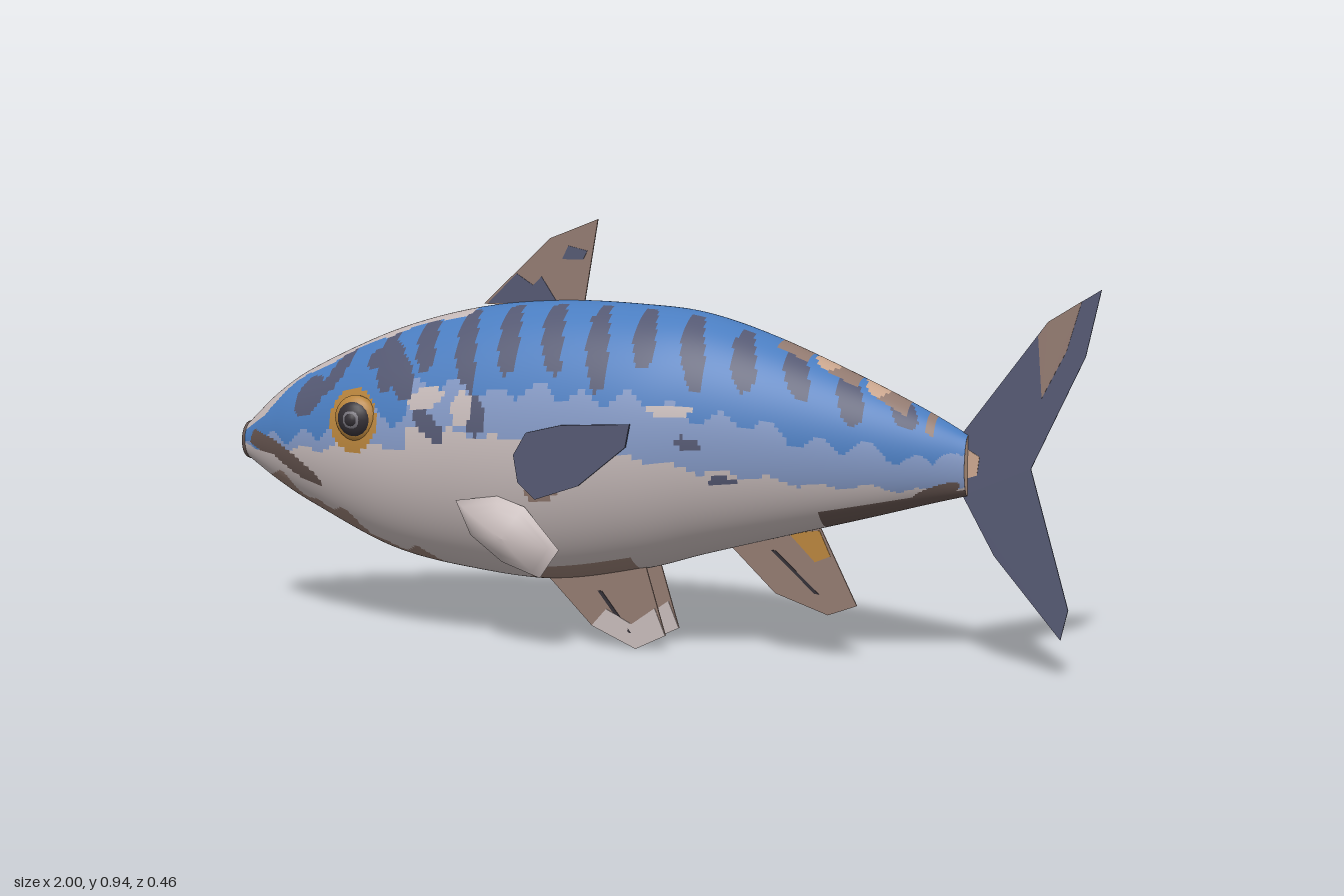
import * as THREE from 'three';

const mat = (name, color) => {
  const m = new THREE.MeshStandardMaterial({ color, side: THREE.DoubleSide });
  m.name = name;
  return m;
};

export function createModel() {
  const blue = mat('back blue', 0x4a7dc0), light = mat('flank light blue', 0x8398c4);
  const slate = mat('slate', 0x545872), pale = mat('belly pale', 0xc6bab9);
  const brown = mat('fin brown', 0x927a70), umber = mat('dark brown', 0x65544f);
  const orange = mat('eye orange', 0xb8843c), tan = mat('tan', 0xcaa68e);
  const dark = mat('near black', 0x332f35), grey = mat('eye grey', 0x77747c);
  const palette = [blue, light, slate, pale, brown, umber, orange, tan];
  const fish = new THREE.Group();
  fish.name = 'fish';

  const add = (name, geo, material, parent = fish) => {
    const m = new THREE.Mesh(geo, material);
    m.name = name;
    parent.add(m);
    return m;
  };

  // Body stations: x, top, bottom, half width
  const stations = [
    [-0.99, 0.46, 0.375, 0.036], [-0.9, 0.54, 0.32, 0.085], [-0.8, 0.603, 0.27, 0.125],
    [-0.6, 0.692, 0.187, 0.18], [-0.4, 0.747, 0.153, 0.2], [-0.2, 0.769, 0.144, 0.207],
    [0, 0.766, 0.18, 0.202], [0.14, 0.752, 0.222, 0.182], [0.3, 0.705, 0.267, 0.15],
    [0.5, 0.624, 0.322, 0.1], [0.64, 0.56, 0.362, 0.06], [0.725, 0.515, 0.385, 0.032],
  ];
  const heights = new THREE.CatmullRomCurve3(stations.map(s => new THREE.Vector3(s[0], s[1], s[2])), false, 'catmullrom');
  const widths = new THREE.CatmullRomCurve3(stations.map(s => new THREE.Vector3(s[0], s[3], 0)), false, 'catmullrom');

  // Tilted oval markings on the flanks: x, y, radius x, radius y, tilt, colour
  const spots = [
    [-0.64, 0.5, 0.066, 0.072, 0, orange],
    [-0.45, 0.56, 0.045, 0.022, 0.3, pale], [-0.36, 0.54, 0.025, 0.04, 0, pale],
    [-0.44, 0.5, 0.05, 0.02, -0.7, slate], [-0.33, 0.53, 0.03, 0.045, 0.2, slate],
    [-0.78, 0.54, 0.035, 0.05, -0.6, slate], [-0.71, 0.6, 0.02, 0.06, -0.5, slate],
    [-0.52, 0.6, 0.03, 0.05, 0.4, slate], [-0.58, 0.64, 0.05, 0.025, 0.3, slate],
    [-0.83, 0.39, 0.1, 0.02, -0.5, umber], [-0.93, 0.425, 0.06, 0.02, -0.3, umber],
    [0.12, 0.56, 0.05, 0.014, 0, pale], [0.16, 0.49, 0.03, 0.013, -0.3, slate],
    [0.23, 0.41, 0.03, 0.01, 0, slate], [0.7, 0.45, 0.035, 0.03, 0, light],
    [0.66, 0.39, 0.06, 0.016, 0.4, umber], [-0.17, 0.37, 0.04, 0.02, 0.3, brown],
  ];
  const inSpot = (x, y, [cx, cy, rx, ry, a]) => {
    const dx = x - cx, dy = y - cy, c = Math.cos(a), s = Math.sin(a);
    return ((dx * c + dy * s) / rx) ** 2 + ((dy * c - dx * s) / ry) ** 2 < 1;
  };
  const lerp = THREE.MathUtils.lerp, step = THREE.MathUtils.smoothstep;

  // Picks the colour of a point of the skin; s runs from -1 (belly) to 1 (back)
  const skin = (x, y, z, s) => {
    const az = Math.abs(z);
    if (s > 0) {
      if (x < -0.4 && az < 0.055 + 0.006 * Math.sin(x * 40)) return s > 0.6 ? pale : blue;
      if (s > 0.6 && [0.42, 0.53].some(c => ((x - c) / 0.025) ** 2 + (z / 0.045) ** 2 < 1)) return tan;
      if (s > 0.6 && x > 0.3 && x < 0.66 && az < 0.045 && Math.sin(x * 58) > -0.4) return brown;
    }
    for (const spot of spots) if (inSpot(x, y, spot)) return spot[5];
    // Underside blotches
    if (s < 0 && x < -0.38 && x > -0.95) {
      const edge = lerp(0.35, 0.17, step(x, -0.95, -0.4)) + 0.015 * Math.sin(x * 34) + 0.008 * Math.sin(x * 71);
      if (y < edge) return brown;
    }
    if (s < -0.86 && x > -0.25 && x < 0) return brown;
    if (s < -0.75 && x > 0.42) return umber;
    // Scalloped edges between back, flank and belly
    const wave = 0.016 * Math.sin(x * 62) + 0.007 * Math.sin(x * 27);
    const upper = x < -0.5 ? lerp(0.42, 0.52, step(x, -0.98, -0.5)) : lerp(0.585, 0.46, step(x, -0.1, 0.75));
    const lower = x < -0.5 ? lerp(0.41, 0.45, step(x, -0.98, -0.5)) : lerp(0.49, 0.40, step(x, -0.4, 0.6));
    if (y > upper + wave) {
      const p = (x + 0.22 * (y - 0.65)) / 0.105;
      const low = 0.5 + 0.1 * Math.sin(x * 23);
      const fat = 0.48 * Math.sqrt(Math.max(0, 1 - ((s - 0.5 - low / 2) / (0.52 - low / 2)) ** 2));
      if (x > -0.6 && x < 0.66 && s > low && s < 0.985 && Math.abs(p - Math.floor(p) - 0.5) < fat / 2) return slate;
      return blue;
    }
    return y > lower + wave * 0.4 ? light : pale;
  };

  // Body: lofted ovals, each cell sorted into its colour group
  const NX = 260, NA = 140, pos = [], cells = palette.map(() => []);
  for (let i = 0; i <= NX; i++) {
    const h = heights.getPoint(i / NX), w = widths.getPoint(i / NX).y;
    for (let j = 0; j < NA; j++) {
      const a = j / NA * Math.PI * 2;
      pos.push(h.x, (h.y + h.z) / 2 + (h.y - h.z) / 2 * Math.sin(a), w * Math.cos(a));
    }
  }
  for (let i = 0; i < NX; i++) for (let j = 0; j < NA; j++) {
    const k = (j + 1) % NA, a = i * NA + j, b = a + NA, c = (i + 1) * NA + k, d = i * NA + k;
    const mid = n => (pos[a * 3 + n] + pos[c * 3 + n]) / 2;
    const colour = skin(mid(0), mid(1), mid(2), Math.sin((j + 0.5) / NA * Math.PI * 2));
    cells[palette.indexOf(colour)].push(a, b, c, a, c, d);
  }
  const bodyGeo = new THREE.BufferGeometry();
  bodyGeo.setAttribute('position', new THREE.Float32BufferAttribute(pos, 3));
  bodyGeo.setIndex(cells.flat());
  let start = 0;
  cells.forEach((c, n) => { bodyGeo.addGroup(start, c.length, n); start += c.length; });
  bodyGeo.computeVertexNormals();
  add('body', bodyGeo, palette);

  // Mouth ring, throat and tail stump
  const lips = add('lips', new THREE.TorusGeometry(0.036, 0.009, 8, 24), umber);
  lips.rotation.y = Math.PI / 2;
  lips.position.set(-0.99, 0.417, 0);
  lips.scale.set(0.85, 1, 1);
  const disc = (name, x, y, rz, ry, material) => {
    const m = add(name, new THREE.CircleGeometry(1, 24), material);
    m.rotation.y = Math.PI / 2;
    m.position.set(x, y, 0);
    m.scale.set(rz, ry, 1);
  };
  disc('throat', -0.988, 0.417, 0.036, 0.04, dark);
  disc('tailStump', 0.725, 0.45, 0.032, 0.065, tan);

  // Flat fins: outline in x, y, centred on z = 0
  const plate = (points, depth) => {
    const g = new THREE.ExtrudeGeometry(new THREE.Shape(points.map(p => new THREE.Vector2(...p))), { depth, bevelEnabled: false });
    return g.translate(0, 0, -depth / 2);
  };
  const fin = (name, points, material, patches = []) => {
    const g = new THREE.Group();
    g.name = name;
    add(name + 'Blade', plate(points, 0.004), material, g);
    patches.forEach(([pts, m], i) => add(name + 'Marking' + (i + 1), plate(pts, 0.007), m, g));
    fish.add(g);
    return g;
  };
  fin('dorsalFin', [[-0.39, 0.755], [-0.23, 0.905], [-0.115, 0.95], [-0.15, 0.75]], brown, [
    [[[-0.38, 0.757], [-0.31, 0.825], [-0.27, 0.8], [-0.25, 0.82], [-0.21, 0.76]], slate],
    [[[-0.2, 0.86], [-0.185, 0.89], [-0.14, 0.88], [-0.15, 0.86]], slate],
  ]);
  fin('tailFin', [[0.71, 0.515], [0.89, 0.76], [1, 0.83], [0.97, 0.69], [0.86, 0.45], [0.945, 0.155], [0.93, 0.09], [0.785, 0.26], [0.715, 0.385]], slate, [
    [[[0.87, 0.73], [0.89, 0.76], [0.96, 0.805], [0.93, 0.7], [0.88, 0.6]], brown],
    [[[0.715, 0.49], [0.75, 0.47], [0.745, 0.43], [0.715, 0.42]], tan],
  ]);
  fin('analFin', [[0.19, 0.25], [0.3, 0.145], [0.42, 0.105], [0.485, 0.13], [0.4, 0.3]], brown, [
    [[[0.33, 0.28], [0.4, 0.29], [0.425, 0.235], [0.39, 0.22]], orange],
    [[[0.29, 0.24], [0.3, 0.24], [0.4, 0.15], [0.39, 0.15]], dark],
  ]);

  // Paired parts: pelvic fins, pectoral fins, painted side fins and eyes
  for (const side of [1, -1]) {
    const prefix = side > 0 ? 'left' : 'right';
    const pelvic = fin(prefix + 'PelvicFin', [[-0.215, 0.15], [-0.115, 0.05], [-0.01, 0.005], [0.06, 0.04], [0.015, 0.19]], brown, [
      [[[-0.115, 0.05], [-0.01, 0.005], [0.06, 0.04], [0.035, 0.1], [-0.02, 0.06], [-0.08, 0.09]], pale],
      [[[-0.1, 0.13], [-0.09, 0.13], [-0.02, 0.04], [-0.03, 0.04]], dark],
    ]);
    pelvic.position.z = side * 0.043;

    // Pectoral fin: an outline domed outwards
    const rim = [[-0.375, 0.34], [-0.275, 0.355], [-0.21, 0.335], [-0.13, 0.245], [-0.175, 0.18], [-0.265, 0.21], [-0.34, 0.265]];
    const cx = -0.25, cy = 0.268, rings = 6, v = [], idx = [], n = rim.length;
    for (let r = 0; r <= rings; r++) for (const [x, y] of rim) {
      const f = r / rings;
      v.push(lerp(cx, x, f), lerp(cy, y, f), side * (0.195 + 0.036 * (1 - f * f)));
    }
    for (let r = 0; r < rings; r++) for (let j = 0; j < n; j++) {
      const a = r * n + j, b = r * n + (j + 1) % n;
      idx.push(...(side > 0 ? [a, b, b + n, a, b + n, a + n] : [a, b + n, b, a, a + n, b + n]));
    }
    const pg = new THREE.BufferGeometry();
    pg.setAttribute('position', new THREE.Float32BufferAttribute(v, 3));
    pg.setIndex(idx);
    pg.computeVertexNormals();
    add(prefix + 'PectoralFin', pg, pale);

    // Folded fin lying along the flank
    const mark = plate([[-0.22, 0.39], [-0.23, 0.45], [-0.2, 0.5], [-0.12, 0.52], [0.04, 0.53], [0.03, 0.48], [-0.08, 0.39], [-0.18, 0.355]], 0.006);
    add(prefix + 'FoldedFin', mark, slate).position.z = side * 0.207;

    // Eye: stacked domes
    const eye = new THREE.Group();
    eye.name = prefix + 'Eye';
    const dome = (name, r, depth, z, m) => {
      const e = add(name, new THREE.SphereGeometry(r, 24, 12), m, eye);
      e.scale.z = depth / r;
      e.position.z = z;
    };
    dome('iris', 0.052, 0.026, 0, orange);
    dome('eyeball', 0.043, 0.028, 0.005, dark);
    dome('pupilRing', 0.033, 0.026, 0.009, grey);
    dome('pupil', 0.024, 0.026, 0.0115, dark);
    eye.position.set(-0.63, 0.505, side * 0.165);
    if (side < 0) eye.rotation.y = Math.PI;
    fish.add(eye);
  }
  return fish;
}
